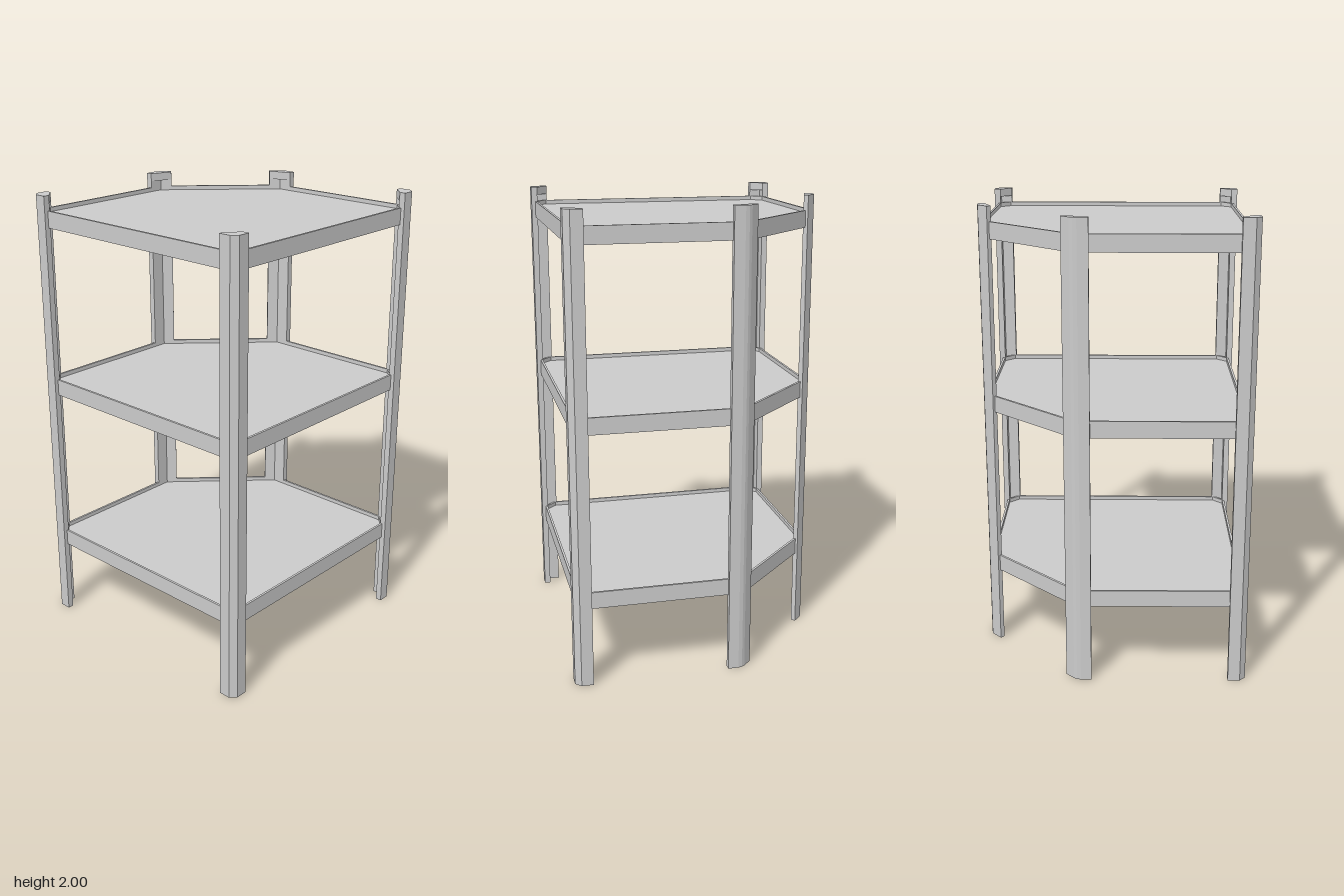
import * as THREE from 'three';

const material = new THREE.MeshStandardMaterial({ color: 0xcccccc, flatShading: true });

// Vertical prism from a plan outline of [x, z] points, between two heights
function prism(name, outline, y0, y1, hole) {
  const toVectors = (pts) => pts.map(([x, z]) => new THREE.Vector2(x, z));
  const shape = new THREE.Shape(toVectors(outline));
  if (hole) shape.holes.push(new THREE.Path(toVectors(hole)));
  const geo = new THREE.ExtrudeGeometry(shape, { depth: y1 - y0, bevelEnabled: false });
  geo.rotateX(Math.PI / 2).translate(0, y1, 0);
  const mesh = new THREE.Mesh(geo, material);
  mesh.name = name;
  return mesh;
}

// Shelf plan: square of half-width h, three small clipped corners, one large cut corner.
// A clipped corner lies on |x| + |z| = clip, the large one on |x| + |z| = cut.
function shelfOutline(h, clip, cut) {
  const c = clip - h, d = cut - h;
  return [
    [-d, -h], [c, -h], [h, -c], [h, c], [c, h], [-c, h], [-h, c], [-h, -d],
  ];
}

// Angle-section post closed by a solid cap; both outlines share the outer points
function post(name, outer, bend, place) {
  const group = new THREE.Group();
  group.name = name;
  group.add(prism('postAngle', [...outer, bend].map(place), 0, 1.965));
  group.add(prism('postCap', outer.map(place), 1.965, 2));
  return group;
}

export function createModel() {
  const model = new THREE.Group();
  model.name = 'cornerShelf';

  // Three trays: thin upright rim around a recessed panel
  const rimOuter = shelfOutline(0.56, 1.07, 0.72);
  const rimInner = shelfOutline(0.55, 1.055, 0.705);
  [0.345, 1.103, 1.862].forEach((y) => {
    const shelf = new THREE.Group();
    shelf.name = 'shelf';
    shelf.add(prism('rim', rimOuter, y, y + 0.073, rimInner));
    shelf.add(prism('panel', rimInner, y + 0.028, y + 0.055));
    model.add(shelf);
  });

  // Square-corner posts
  const square = [
    [0.55, 0.5], [0.577, 0.5], [0.577, 0.552], [0.552, 0.577], [0.5, 0.577], [0.5, 0.55],
  ];
  for (const [name, sx, sz] of [
    ['frontLeftPost', 1, 1], ['frontRightPost', -1, 1], ['backLeftPost', 1, -1],
  ]) {
    model.add(post(name, square, [0.55, 0.55], ([x, z]) => [x * sx, z * sz]));
  }

  // Obtuse posts at both ends of the cut corner, mirrored across the diagonal
  const obtuse = [
    [-0.19, -0.515], [-0.205, -0.53], [-0.17, -0.565], [-0.157, -0.573],
    [-0.14, -0.577], [-0.094, -0.577], [-0.094, -0.55],
  ];
  const bend = [-0.155, -0.55];
  model.add(post('cutCornerBackPost', obtuse, bend, ([x, z]) => [x, z]));
  model.add(post('cutCornerSidePost', obtuse, bend, ([x, z]) => [z, x]));

  return model;
}
